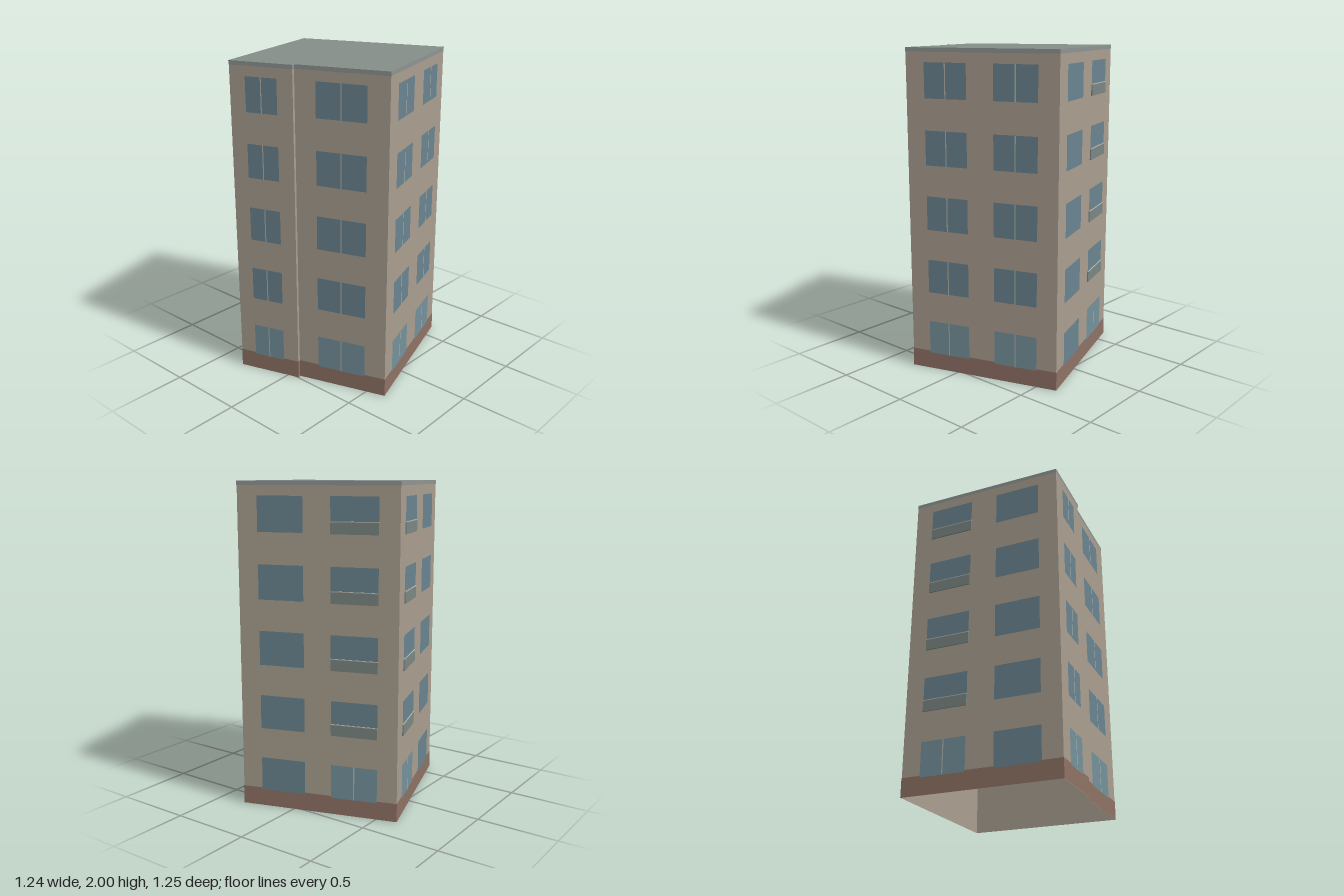
import * as THREE from 'three';

const H = 2, S = 0.493, STEP = 0.022;
const paint = (color, side = THREE.FrontSide) => new THREE.MeshStandardMaterial({ color, side });

// Footprint [x, z], counter-clockwise seen from above, grown outward by o
const footprint = (o) => [
  [-S - o, S + o], [-0.085 + o, S + o], [-0.085 + o, S - STEP + o],
  [S + o, S - STEP + o], [S + o, -S - o], [-S - o, -S - o],
];

// Vertical band of wall following the footprint
function band(name, o, y0, y1, material) {
  const pts = footprint(o), pos = [];
  pts.forEach(([ax, az], i) => {
    const [bx, bz] = pts[(i + 1) % pts.length];
    pos.push(ax, y0, az, bx, y0, bz, bx, y1, bz, ax, y0, az, bx, y1, bz, ax, y1, az);
  });
  const g = new THREE.BufferGeometry();
  g.setAttribute('position', new THREE.Float32BufferAttribute(pos, 3));
  g.computeVertexNormals();
  const m = new THREE.Mesh(g, material);
  m.name = name;
  return m;
}

export function createModel() {
  const model = new THREE.Group();
  model.name = 'apartmentBlock';
  const building = new THREE.Group();
  building.name = 'building';
  building.rotation.y = THREE.MathUtils.degToRad(17.9);
  model.add(building);

  const wall = paint(0xaa9f90, THREE.DoubleSide);
  const plinth = paint(0x8f7265);
  const trim = paint(0x8f9592);
  const roofPaint = paint(0x858e8a, THREE.DoubleSide);
  const glass = paint(0x6a8490);
  const groundGlass = paint(0x75929c);
  const frame = paint(0xb5b5aa);
  const panel = paint(0x7b8784);

  // Shell, open at the bottom, with plinth and eaves bands
  building.add(
    band('walls', 0, 0, H, wall),
    band('plinth', 0.0015, 0, 0.115, plinth),
    band('eavesBand', 0.0015, 1.975, H, trim),
  );

  // Flat roof
  const roofShape = new THREE.Shape(footprint(0.0015).map(([x, z]) => new THREE.Vector2(x, -z)));
  const roof = new THREE.Mesh(new THREE.ShapeGeometry(roofShape).rotateX(-Math.PI / 2), roofPaint);
  roof.name = 'roof';
  roof.position.y = H;
  building.add(roof);

  const add = (parent, name, geometry, material, x, y, z) => {
    const m = new THREE.Mesh(geometry, material);
    m.name = name;
    m.position.set(x, y, z);
    parent.add(m);
  };

  // Window columns: turn of the facade, wall distance, left and right edge, kind
  const columns = [
    ['front', 0, S, -0.39, -0.185, 'split'],
    ['front', 0, S - STEP, 0.048, 0.36, 'split'],
    ['right', 1, S, -0.35, -0.077, 'split'],
    ['right', 1, S, 0.093, 0.367, 'split'],
    ['back', 2, S, -0.367, -0.084, 'plain'],
    ['back', 2, S, 0.084, 0.371, 'balcony'],
    ['left', -1, S, -0.375, -0.09, 'balcony'],
    ['left', -1, S, 0.085, 0.37, 'plain'],
  ];
  for (const [side, turn, d, u0, u1, kind] of columns) {
    const column = new THREE.Group();
    column.name = side + 'WindowColumn';
    column.rotation.y = turn * Math.PI / 2;
    building.add(column);
    const w = u1 - u0, u = (u0 + u1) / 2;
    for (let floor = 0; floor < 5; floor++) {
      const y = 0.105 + floor * 0.4;
      const balcony = kind === 'balcony' && floor > 0;
      const split = kind === 'split' || (kind === 'balcony' && floor === 0);
      add(column, 'windowPane', new THREE.PlaneGeometry(w, 0.21),
        floor === 0 && split ? groundGlass : glass, u, y + 0.105, d + 0.003);
      // Centre mullion
      if (split) add(column, 'mullion', new THREE.PlaneGeometry(0.007, 0.21), frame, u, y + 0.105, d + 0.0045);
      // Shallow balcony panel with a pale rail
      if (balcony) {
        add(column, 'balconyPanel', new THREE.BoxGeometry(w, 0.068, 0.007), panel, u, y + 0.03, d + 0.0035);
        add(column, 'balconyRail', new THREE.BoxGeometry(w, 0.005, 0.008), frame, u, y + 0.0665, d + 0.004);
      }
    }
  }
  return model;
}
